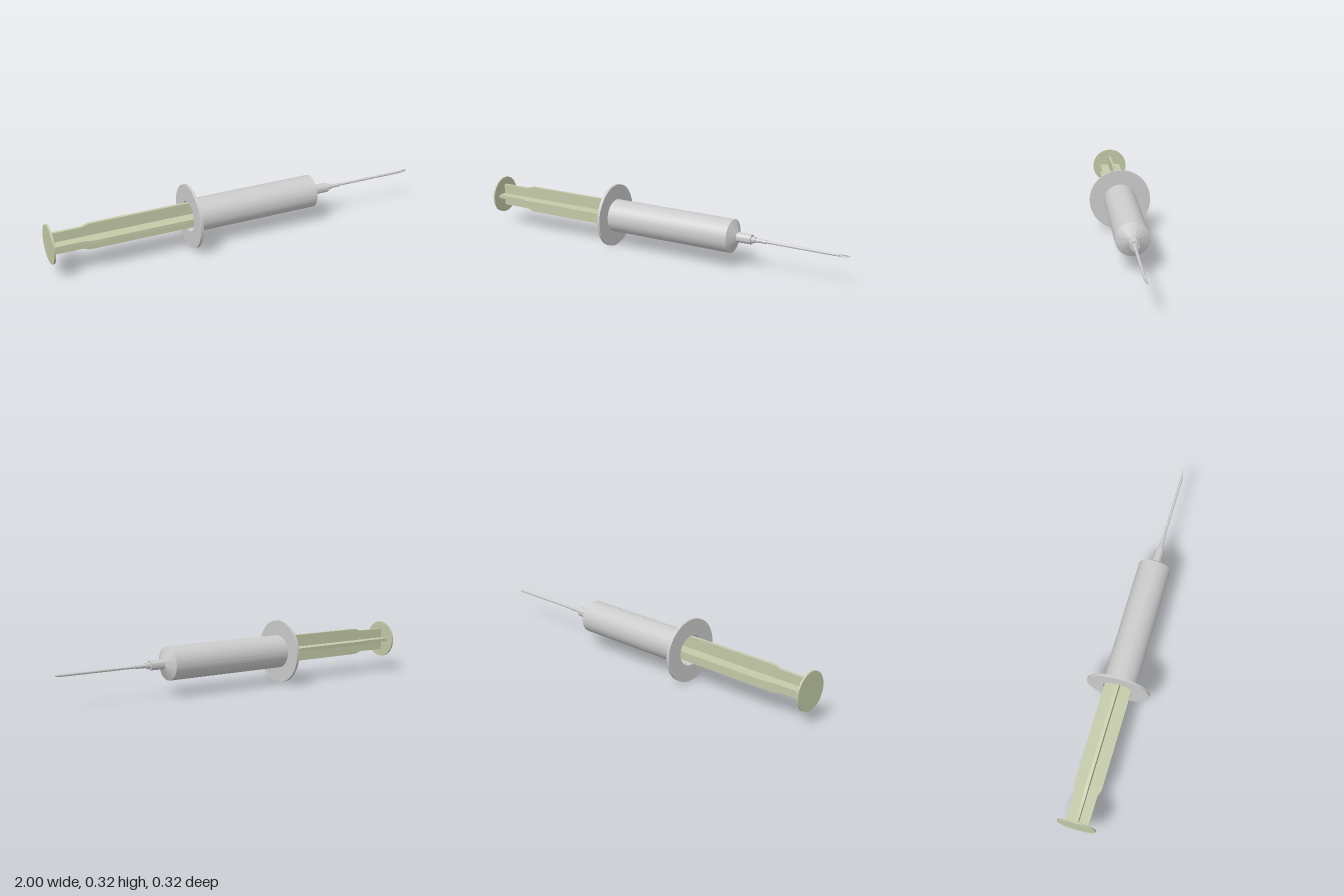
import * as THREE from 'three';
import { toCreasedNormals } from 'three/addons/utils/BufferGeometryUtils.js';

const AXIS_Y = 0.161;
const grey = new THREE.MeshStandardMaterial({ color: 0xcccccc });
const olive = new THREE.MeshStandardMaterial({ color: 0xc3c9a8 });

// Lathe geometry turned around the x axis; profile points are [x, radius]
function turned(profile, segments = 64) {
  const points = profile.map(([x, r]) => new THREE.Vector2(r, x));
  return new THREE.LatheGeometry(points, segments).rotateZ(-Math.PI / 2);
}

function part(name, geometry, material) {
  const mesh = new THREE.Mesh(toCreasedNormals(geometry, 0.4), material);
  mesh.name = name;
  return mesh;
}

export function createModel() {
  const model = new THREE.Group();
  model.name = 'syringe';
  const body = new THREE.Group();
  body.name = 'body';
  body.position.y = AXIS_Y;
  model.add(body);

  // Hollow barrel with finger flange and conical shoulder
  body.add(part('barrel', turned([
    [0.385, 0], [0.385, 0.077], [-0.287, 0.077], [-0.287, 0.161], [-0.273, 0.161],
    [-0.273, 0.084], [0.4, 0.084], [0.428, 0.027], [0.428, 0],
  ], 96), grey));

  // Stepped hub that holds the needle
  body.add(part('needleHub', turned([
    [0.42, 0], [0.42, 0.027], [0.435, 0.025], [0.503, 0.024], [0.503, 0.015],
    [0.523, 0.014], [0.523, 0.01], [0.58, 0.009], [0.58, 0],
  ], 48), grey));

  // Hollow needle, its end cut at a slant that faces the front
  const r = 0.0065;
  const needle = turned([[0.9, 0.0035], [0.57, 0.0035], [0.57, r], [0.9, r], [0.9, 0.0035]], 24);
  const p = needle.attributes.position;
  for (let i = 0; i < p.count; i++) {
    if (p.getX(i) > 0.8) p.setX(i, 1 - 0.06 * (p.getZ(i) + r) / (2 * r));
  }
  needle.computeVertexNormals();
  body.add(part('needle', needle, grey));

  // Plunger: thumb disc, crossed ribs and stopper
  const plunger = new THREE.Group();
  plunger.name = 'plunger';
  plunger.position.y = 0.007;
  body.add(plunger);
  plunger.add(part('thumbDisc', turned([[-1, 0], [-1, 0.096], [-0.991, 0.096], [-0.991, 0]]), olive));

  const half = [[-0.995, 0.057], [-0.835, 0.057], [-0.8, 0.069], [0.31, 0.069]];
  const outline = [...half, ...half.map(([x, y]) => [x, -y]).reverse()];
  const shape = new THREE.Shape(outline.map(([x, y]) => new THREE.Vector2(x, y)));
  const thickness = 0.016;
  ['verticalRib', 'horizontalRib'].forEach((name, i) => {
    const rib = new THREE.ExtrudeGeometry(shape, { depth: thickness, bevelEnabled: false });
    rib.translate(0, 0, -thickness / 2).rotateX(i * Math.PI / 2);
    plunger.add(part(name, rib, olive));
  });
  plunger.add(part('stopper', turned([[0.3, 0], [0.3, 0.07], [0.35, 0.07], [0.375, 0.03], [0.375, 0]]), olive));

  return model;
}
